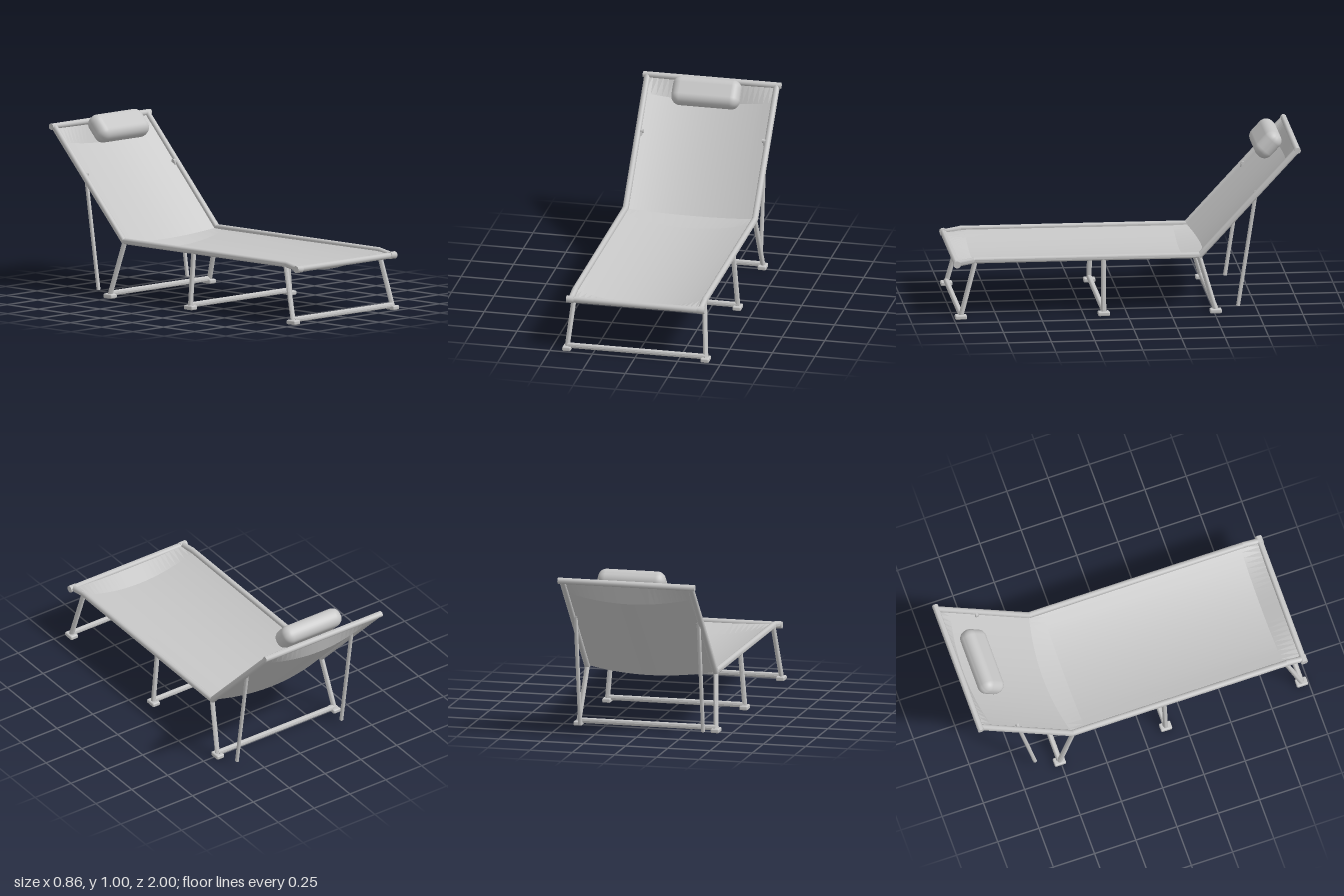
import * as THREE from 'three';
import { toCreasedNormals } from 'three/addons/utils/BufferGeometryUtils.js';
import { RoundedBoxGeometry } from 'three/addons/geometries/RoundedBoxGeometry.js';

const grey = new THREE.MeshStandardMaterial({ color: 0xc6c6c6, side: THREE.DoubleSide });
grey.name = 'light grey';

const V = (x, y, z) => new THREE.Vector3(x, y, z);

function add(parent, name, geometry) {
  const mesh = new THREE.Mesh(geometry, grey);
  mesh.name = name;
  parent.add(mesh);
  return mesh;
}

// straight round bar between two points
function bar(parent, name, a, b, r) {
  const geo = new THREE.CylinderGeometry(r, r, a.distanceTo(b), 10);
  const mesh = add(parent, name, toCreasedNormals(geo, 0.8));
  mesh.position.copy(a).lerp(b, 0.5);
  mesh.quaternion.setFromUnitVectors(V(0, 1, 0), b.clone().sub(a).normalize());
  return mesh;
}

// chain of bars with ball joints at the bends
function bentBar(parent, name, points, r) {
  for (let i = 1; i < points.length; i++) {
    bar(parent, name, points[i - 1], points[i], r);
    if (i < points.length - 1) {
      add(parent, name + 'Joint', new THREE.SphereGeometry(r, 10, 8)).position.copy(points[i]);
    }
  }
}

// cloth: rows of [y, z, sag in y, sag in z], each sagging as a parabola across x
function cloth(parent) {
  const rows = [
    [0.325, 0.98, 0, 0],
    [0.34, 0.86, -0.07, 0],
    [0.335, -0.34, -0.055, 0],
    [0.335, -0.42, -0.03, -0.045],
    [0.86, -0.9, -0.041, -0.044],
    [0.945, -0.98, 0, 0],
  ];
  const n = 24;
  const geo = new THREE.PlaneGeometry(0.75, 1, n, rows.length - 1);
  const pos = geo.attributes.position;
  rows.forEach(([y, z, sy, sz], j) => {
    for (let i = 0; i <= n; i++) {
      const u = (2 * i) / n - 1;
      const sag = 1 - u * u;
      // rows run from the front edge to the head, so x is mirrored to face upward
      pos.setXYZ(j * (n + 1) + i, -0.375 * u, y + sy * sag, z + sz * sag);
    }
  });
  add(parent, 'slingCloth', toCreasedNormals(geo, 0.1));
}

export function createModel() {
  const model = new THREE.Group();
  model.name = 'sunLounger';

  cloth(model);

  // front and head crossbars
  const across = (name, y, z, half, r) => bar(model, name, V(-half, y, z), V(half, y, z), r);
  across('frontCrossbar', 0.32, 0.98, 0.4, 0.018);
  across('headCrossbar', 0.943, -0.98, 0.405, 0.018);

  for (const s of [-1, 1]) {
    const x = 0.38 * s;
    // side rail from the front edge over the hinge to the head
    bentBar(model, 'sideRail', [
      V(x, 0.32, 0.98), V(x, 0.338, 0.88), V(x, 0.337, -0.42), V(x, 0.943, -0.98),
    ], 0.018);
    // end sleeve on the front crossbar
    bar(model, 'frontSleeve', V(0.362 * s, 0.32, 0.98), V(0.406 * s, 0.32, 0.98), 0.021);
    // backrest prop with its pivot pin
    bar(model, 'backProp', V(0.364 * s, 0.03, -0.64), V(0.364 * s, 0.69, -0.742), 0.0115);
    bar(model, 'propPin', V(0.348 * s, 0.69, -0.742), V(x, 0.69, -0.742), 0.011);
  }

  // leg frames: [top z, foot z]
  for (const [name, zTop, zFoot] of [
    ['frontLeg', 0.875, 0.96], ['middleLeg', 0.137, 0.137], ['rearLeg', -0.415, -0.507],
  ]) {
    across(name + 'Crossbar', 0.028, zFoot, 0.405, 0.016);
    for (const s of [-1, 1]) {
      bar(model, name, V(0.38 * s, 0.33, zTop), V(0.407 * s, 0.018, zFoot), 0.0145);
      const foot = add(model, name + 'Foot', new RoundedBoxGeometry(0.05, 0.026, 0.068, 2, 0.008));
      foot.position.set(0.406 * s, 0.014, zFoot);
    }
  }

  // head pillow lying along the backrest
  const pillow = add(model, 'pillow', new RoundedBoxGeometry(0.4, 0.17, 0.11, 4, 0.05));
  pillow.position.set(0, 0.921, -0.835);
  pillow.rotation.x = -0.747;

  return model;
}
